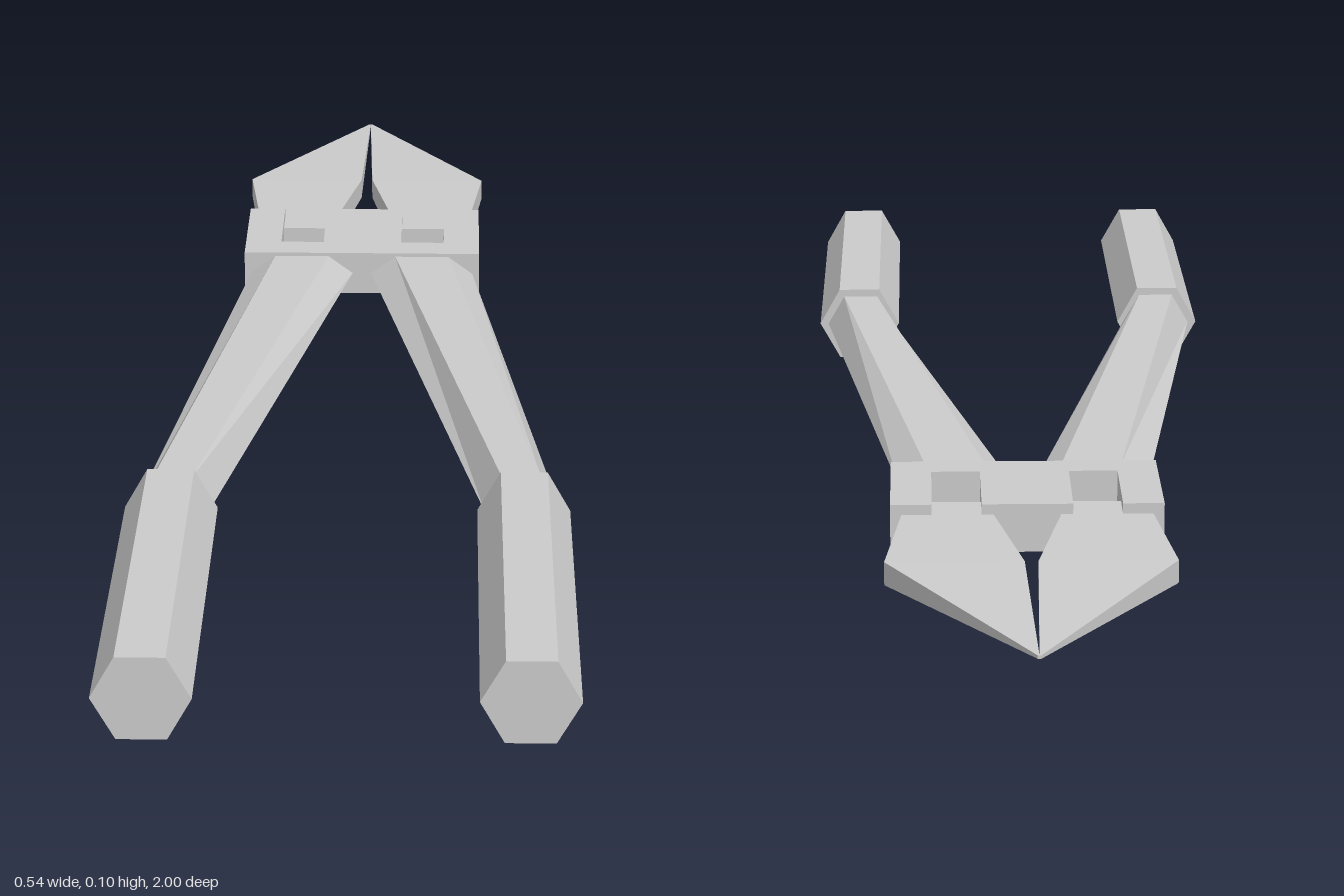
import * as THREE from 'three';

const MID = 0.05; // height of the tool's middle plane
const material = new THREE.MeshStandardMaterial({ color: 0xcccccc, flatShading: true });

// Closed solid through rings of [x, y]; rings run counter-clockwise seen from +z, z increasing.
function loft(sections) {
  const pos = [];
  const tri = (a, b, c) => pos.push(...a, ...b, ...c);
  const rings = sections.map(({ z, ring }) => ring.map(([x, y]) => [x, y, z]));
  const n = rings[0].length;
  for (let k = 0; k + 1 < rings.length; k++) {
    for (let i = 0; i < n; i++) {
      const j = (i + 1) % n;
      tri(rings[k][i], rings[k][j], rings[k + 1][j]);
      tri(rings[k][i], rings[k + 1][j], rings[k + 1][i]);
    }
  }
  const first = rings[0], last = rings[rings.length - 1];
  for (let i = 1; i + 1 < n; i++) {
    tri(first[0], first[i + 1], first[i]);
    tri(last[0], last[i], last[i + 1]);
  }
  const g = new THREE.BufferGeometry();
  g.setAttribute('position', new THREE.Float32BufferAttribute(pos, 3));
  g.computeVertexNormals();
  return g;
}

// Flat-topped hexagon between an inner and an outer point, with its top corners inset
function hexRing(inner, outer, insetIn, insetOut, h) {
  return [
    [outer, MID], [outer - insetOut, MID + h], [inner + insetIn, MID + h],
    [inner, MID], [inner + insetIn, MID - h], [outer - insetOut, MID - h],
  ];
}

function rectRing(inner, outer, h) {
  return [[outer, MID - h], [outer, MID + h], [inner, MID + h], [inner, MID - h]];
}

// Mirror rings to the chosen side, keeping the corner order
const toSide = (sections, side) => side > 0 ? sections : sections.map(({ z, ring }) => ({
  z, ring: ring.map(([x, y]) => [-x, y]).reverse(),
}));

function createHalf(side) {
  const half = new THREE.Group();
  half.name = side > 0 ? 'leftHalf' : 'rightHalf';
  const add = (name, geometry) => {
    const mesh = new THREE.Mesh(geometry, material);
    mesh.name = name;
    half.add(mesh);
    return mesh;
  };

  // Hexagonal grip
  add('grip', loft(toSide([0.48, 1].map(z => ({
    z, ring: hexRing(0.158, 0.271, 0.028, 0.028, 0.05),
  })), side)));

  // Arm, wide and flat at the joint
  add('arm', loft(toSide([
    { z: -0.345, ring: hexRing(0.012, 0.155, 0.034, 0.034, 0.025) },
    { z: 0.485, ring: hexRing(0.167, 0.26, 0.023, 0.023, 0.04) },
  ], side)));

  // Joint block with a slot open towards the blade
  const outline = [
    [0, 0.34], [0.165, 0.34], [0.165, 0.525], [0.115, 0.525],
    [0.115, 0.385], [0.055, 0.385], [0.055, 0.525], [0, 0.525],
  ].map(([x, y]) => new THREE.Vector2(x * side, y));
  const block = add('jointBlock', new THREE.ExtrudeGeometry(new THREE.Shape(outline), {
    depth: 0.06, bevelEnabled: false,
  }));
  block.rotation.x = -Math.PI / 2;
  block.position.y = MID - 0.03;

  // Blade, thinning to the point
  add('blade', loft(toSide([
    { z: -1, ring: rectRing(0, 0.002, 0.002) },
    { z: -0.7, ring: rectRing(0.008, 0.171, 0.014) },
    { z: -0.475, ring: rectRing(0.05, 0.146, 0.018) },
  ], side)));
  return half;
}

export function createModel() {
  const model = new THREE.Group();
  model.name = 'boltCutter';
  for (const side of [1, -1]) model.add(createHalf(side));
  return model;
}
